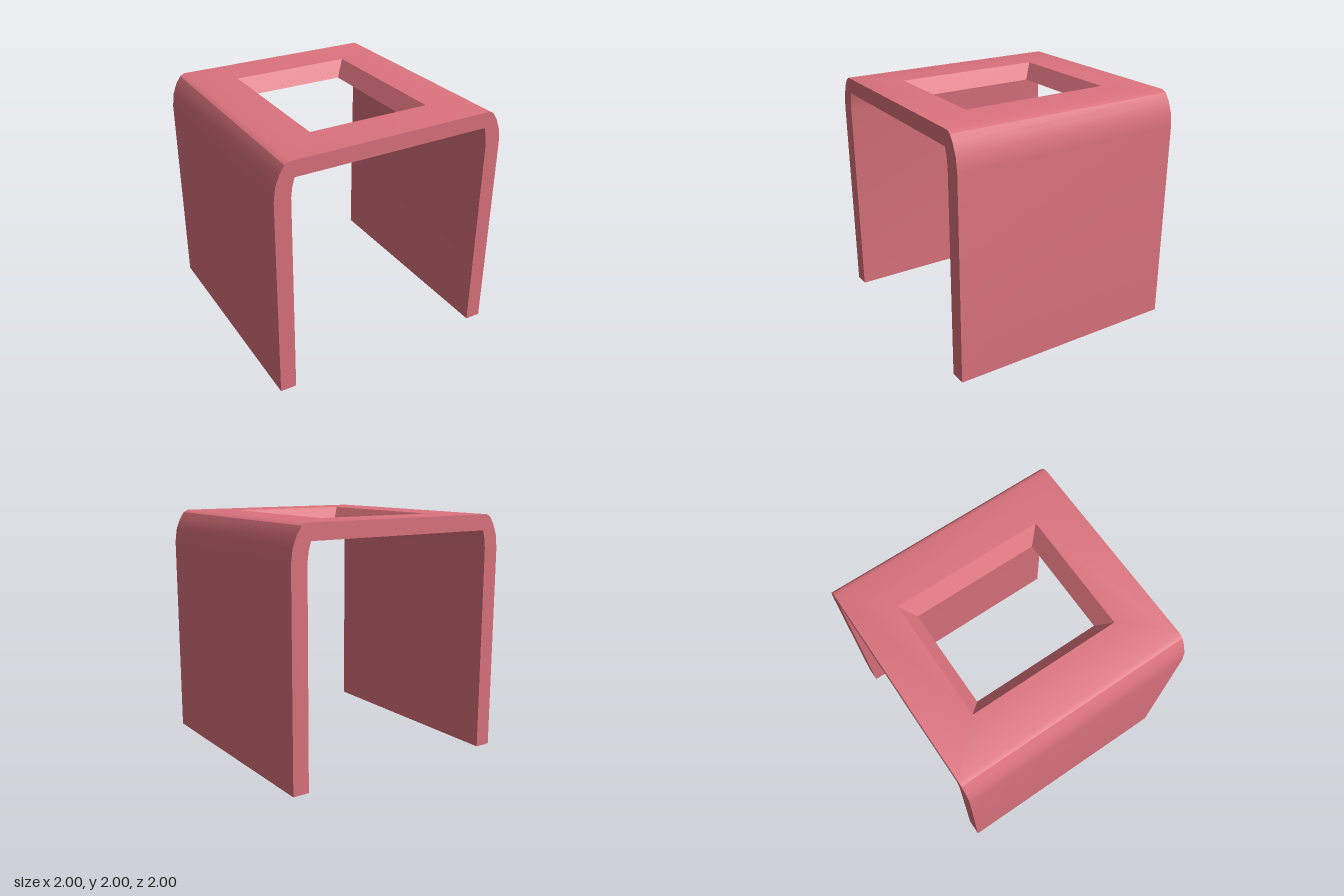
import * as THREE from 'three';
import { mergeGeometries, toCreasedNormals } from 'three/addons/utils/BufferGeometryUtils.js';

// Right half of the arch section: down the inside, up the outside
const HALF = [
  [0.835, 1.87], [0.855, 1.8], [0.865, 1.72], [0.865, 0],
  [1, 0], [1, 1.72], [0.985, 1.83], [0.95, 1.92], [0.91, 1.98], [0.87, 2],
];

function quads(list) {
  const pos = [];
  for (const [a, b, c, d] of list) pos.push(...a, ...b, ...c, ...a, ...c, ...d);
  const g = new THREE.BufferGeometry();
  g.setAttribute('position', new THREE.Float32BufferAttribute(pos, 3));
  return g;
}

const rect = (x, z) => [[-x, -z], [x, -z], [x, z], [-x, z]];
const toVectors = (pts) => pts.map(([x, y]) => new THREE.Vector2(x, y));

// Flat sheet without normals and uvs, so all pieces can be merged
function sheet(points, hole) {
  const shape = new THREE.Shape(toVectors(points));
  if (hole) shape.holes.push(new THREE.Path(toVectors(hole)));
  const g = new THREE.ShapeGeometry(shape).toNonIndexed();
  g.deleteAttribute('normal');
  g.deleteAttribute('uv');
  return g;
}

export function createModel() {
  const coral = new THREE.MeshStandardMaterial({ color: 0xdc737e });
  coral.name = 'coral';

  const section = [...HALF, ...HALF.map(([x, y]) => [-x, y]).reverse()];
  const n = section.length;

  // Legs and bends, leaving the top and underside open
  const band = [];
  for (let i = 0; i < n - 1; i++) {
    if (i === HALF.length - 1) continue;
    const a = section[i], b = section[i + 1];
    band.push([[...a, 1], [...a, -1], [...b, -1], [...b, 1]]);
  }

  // Sloping walls of the rectangular opening
  const upper = rect(0.52, 0.645).map(([x, z]) => [x, 2, z]);
  const lower = rect(0.42, 0.545).map(([x, z]) => [x, 1.87, z]);
  const walls = upper.map((t, i) => {
    const j = (i + 1) % 4;
    return [lower[i], lower[j], upper[j], t];
  });

  const geometry = toCreasedNormals(mergeGeometries([
    quads(band),
    quads(walls),
    // Front and back ends
    sheet(section).translate(0, 0, 1),
    sheet(section).rotateY(Math.PI).translate(0, 0, -1),
    // Top and underside with the opening
    sheet(rect(0.87, 1), rect(0.52, 0.645)).rotateX(-Math.PI / 2).translate(0, 2, 0),
    sheet(rect(0.835, 1), rect(0.42, 0.545)).rotateX(Math.PI / 2).translate(0, 1.87, 0),
  ]), 0.49);

  const arch = new THREE.Mesh(geometry, coral);
  arch.name = 'archWithOpening';
  const group = new THREE.Group();
  group.name = 'bentStand';
  group.add(arch);
  return group;
}
